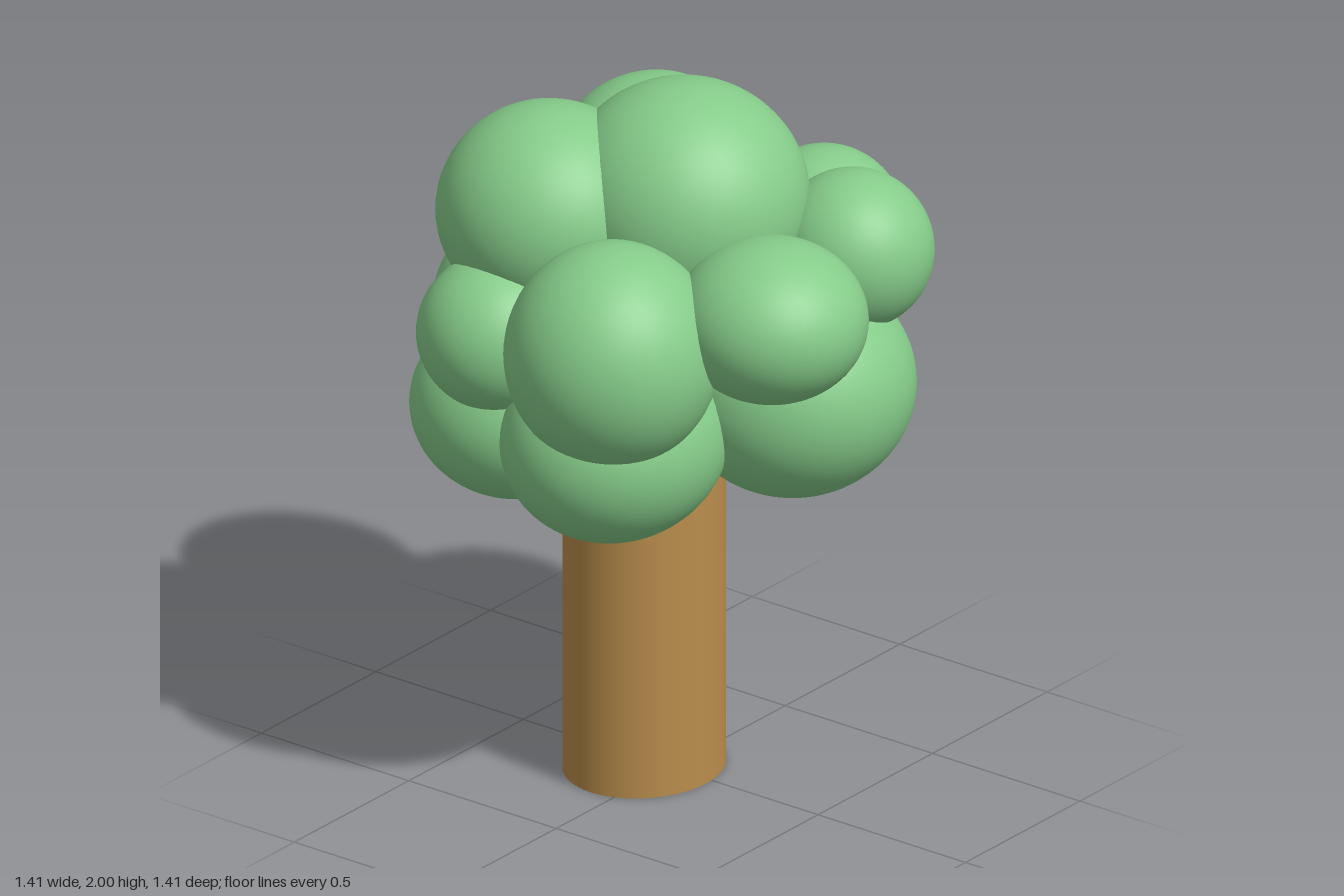
import * as THREE from 'three';

// Foliage puffs: centre x, y, z, then radii x, y, z
const PUFFS = [
  [0.02, 1.67, -0.035, 0.34, 0.33, 0.335],   // crown
  [-0.265, 1.64, 0.19, 0.305, 0.295, 0.305], // upper front
  [-0.28, 1.575, -0.285, 0.27, 0.27, 0.288], // upper back
  [0.145, 1.463, -0.48, 0.22, 0.222, 0.225], // small back
  [0.395, 1.535, -0.29, 0.22, 0.22, 0.215],  // small back left
  [0.44, 1.488, 0.127, 0.263, 0.222, 0.26],  // left side
  [0.12, 1.4, 0.41, 0.29, 0.31, 0.295],      // middle front
  [-0.265, 1.36, 0.415, 0.218, 0.215, 0.22], // small front
  [-0.305, 1.095, 0.285, 0.285, 0.257, 0.285], // lower front right
  [0.045, 1.1, 0.3, 0.295, 0.285, 0.335],    // lower front
  [0.3, 1.17, -0.145, 0.335, 0.31, 0.333],   // lower back left
  [-0.24, 1.18, -0.27, 0.32, 0.3, 0.302],    // lower back
  [-0.4, 1.275, 0.01, 0.305, 0.27, 0.335],   // right side
];

export function createModel() {
  const tree = new THREE.Group();
  tree.name = 'tree';
  const bark = new THREE.MeshStandardMaterial({ color: 0xb98d4c });
  const leaves = new THREE.MeshStandardMaterial({ color: 0x86cc8a });

  // Straight trunk, slightly oval, reaching up into the foliage
  const trunk = new THREE.Mesh(new THREE.CylinderGeometry(1, 1, 1.2, 40), bark);
  trunk.name = 'trunk';
  trunk.scale.set(0.21, 1, 0.235);
  trunk.position.set(-0.07, 0.6, 0.025);
  tree.add(trunk);

  // Overlapping smooth puffs
  const foliage = new THREE.Group();
  foliage.name = 'foliage';
  const ball = new THREE.SphereGeometry(1, 48, 32);
  PUFFS.forEach(([x, y, z, rx, ry, rz], i) => {
    const puff = new THREE.Mesh(ball, leaves);
    puff.name = `foliagePuff${i + 1}`;
    puff.position.set(x, y, z);
    puff.scale.set(rx, ry, rz);
    foliage.add(puff);
  });
  tree.add(foliage);
  return tree;
}
